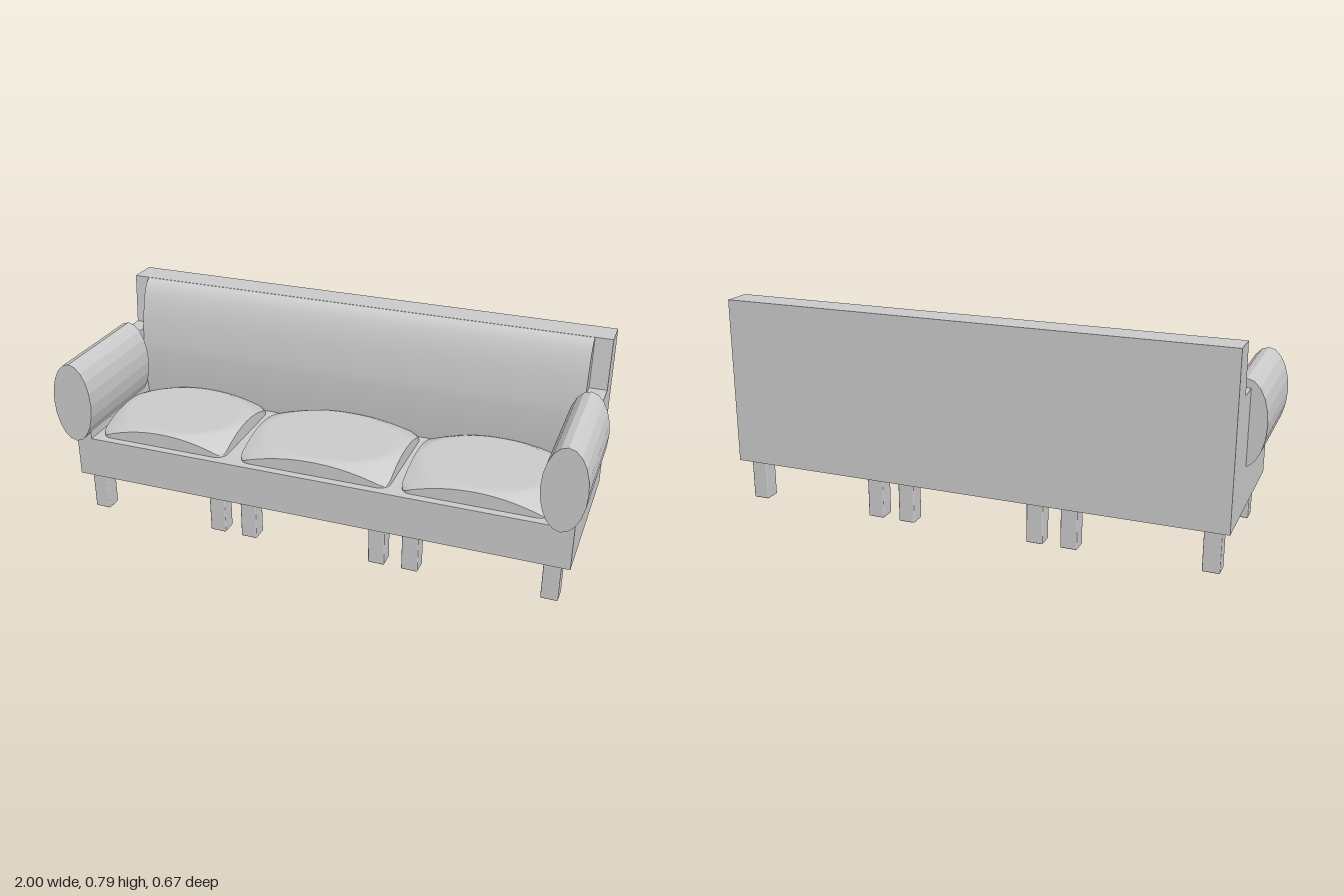
import * as THREE from 'three';
import { toCreasedNormals } from 'three/addons/utils/BufferGeometryUtils.js';
import { RoundedBoxGeometry } from 'three/addons/geometries/RoundedBoxGeometry.js';

const mat = new THREE.MeshStandardMaterial({ color: 0xcccccc });
const flatMat = new THREE.MeshStandardMaterial({ color: 0xcccccc, flatShading: true });

// Extrude a (z, y) outline sideways from x0 to x1.
function sideExtrude(shape, x0, x1) {
  const geo = new THREE.ExtrudeGeometry(shape, { depth: x1 - x0, bevelEnabled: false, curveSegments: 16 });
  geo.rotateY(-Math.PI / 2).translate(x1, 0, 0);
  return toCreasedNormals(geo, 0.5);
}

// Pillow with a flat oval crown, low corners and a rounded plan.
function pillow(width, depth, low, high, radius) {
  const geo = new THREE.BoxGeometry(width, 1, depth, 32, 1, 26);
  const p = geo.attributes.position;
  const hx = width / 2, hz = depth / 2;
  for (let i = 0; i < p.count; i++) {
    let x = p.getX(i), z = p.getZ(i);
    const r = Math.hypot(x / hx, z / hz);
    const drop = Math.pow(Math.max(0, r - 0.93) / 0.485, 1.2);
    const y = p.getY(i) > 0 ? high - (high - low) * 0.92 * drop : low;
    // square corner to round corner
    const ex = Math.max(0, Math.abs(x) - hx + radius) / radius;
    const ez = Math.max(0, Math.abs(z) - hz + radius) / radius;
    if (ex > 0 && ez > 0) {
      x = Math.sign(x) * (hx - radius + radius * ex * Math.sqrt(1 - ez * ez / 2));
      z = Math.sign(z) * (hz - radius + radius * ez * Math.sqrt(1 - ex * ex / 2));
    }
    p.setXYZ(i, x, y, z);
  }
  geo.computeVertexNormals();
  return geo;
}

export function createModel() {
  const sofa = new THREE.Group();
  sofa.name = 'sofa';
  const add = (name, geo, x = 0, y = 0, z = 0, material = mat) => {
    const mesh = new THREE.Mesh(geo, material);
    mesh.name = name;
    mesh.position.set(x, y, z);
    sofa.add(mesh);
    return mesh;
  };

  // Seat base and upright back in one outline
  const frame = new THREE.Shape([
    [-0.333, 0.16], [0.302, 0.16], [0.302, 0.32], [-0.187, 0.32], [-0.225, 0.793], [-0.333, 0.793],
  ].map(([z, y]) => new THREE.Vector2(z, y)));
  add('frame', sideExtrude(frame, -0.937, 0.965));

  // Side panels, mostly hidden inside the arm bolsters
  for (const [x0, x1] of [[-0.937, -0.875], [0.9, 0.965]]) {
    add('sidePanel', new THREE.BoxGeometry(x1 - x0, 0.303, 0.532), (x0 + x1) / 2, 0.4515, 0.036);
  }

  // Bulging back cushion
  const back = new THREE.Shape();
  back.moveTo(-0.24, 0.32);
  back.lineTo(-0.152, 0.32);
  back.bezierCurveTo(-0.143, 0.39, -0.139, 0.46, -0.14, 0.53);
  back.bezierCurveTo(-0.148, 0.66, -0.175, 0.785, -0.222, 0.792);
  back.lineTo(-0.24, 0.792);
  add('backCushion', sideExtrude(back, -0.875, 0.9));

  // Three seat cushions
  for (const [x0, x1] of [[-0.85, -0.335], [-0.275, 0.302], [0.345, 0.872]]) {
    add('seatCushion', pillow(x1 - x0, 0.424, 0.318, 0.38, 0.04), (x0 + x1) / 2, 0, 0.06);
  }

  // Oval arm bolsters
  for (const side of [-1, 1]) {
    const arm = new THREE.CylinderGeometry(1, 1, 0.444, 20);
    arm.rotateX(Math.PI / 2).rotateZ(Math.PI / 2).scale(0.079, 0.158, 1);
    add(side > 0 ? 'leftArm' : 'rightArm', arm, side * 0.921, 0.477, 0.111, flatMat);
  }

  // Two rows of six legs
  for (const x of [-0.875, -0.37, -0.242, 0.265, 0.392, 0.9]) {
    for (const z of [0.24, -0.27]) {
      add('leg', new RoundedBoxGeometry(0.062, 0.16, 0.062, 2, 0.004), x, 0.08, z);
    }
  }
  return sofa;
}
